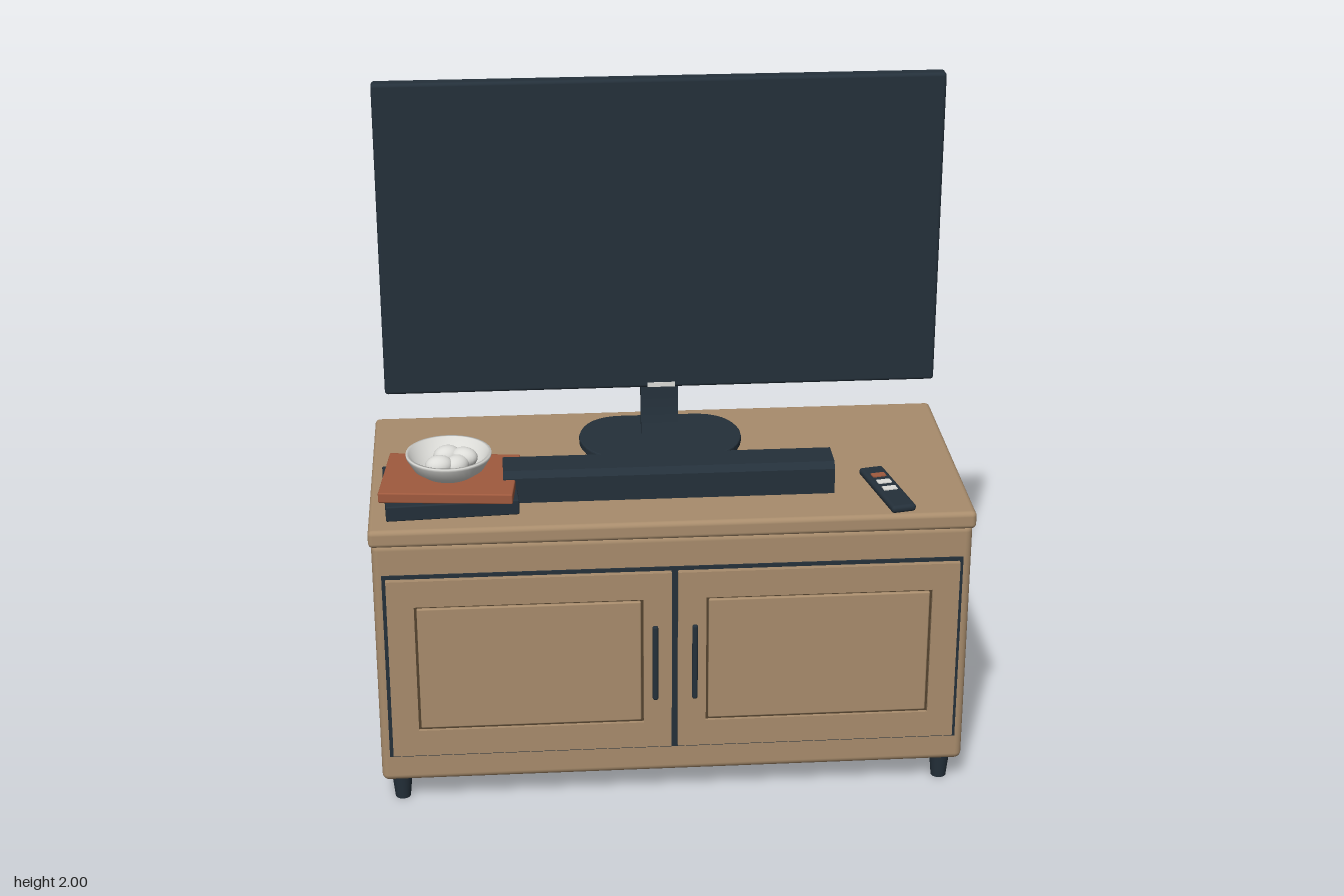
import * as THREE from 'three';
import { RoundedBoxGeometry } from 'three/addons/geometries/RoundedBoxGeometry.js';

const mat = (name, color, side = THREE.FrontSide) => {
  const m = new THREE.MeshStandardMaterial({ color, side });
  m.name = name;
  return m;
};

export function createModel() {
  const model = new THREE.Group();
  model.name = 'mediaUnit';
  const wood = mat('wood', 0xa88c6c);
  const groove = mat('grooveBrown', 0x54432f);
  const dark = mat('charcoal', 0x24303a);
  const rust = mat('rust', 0xa05a3e);
  const pale = mat('paleCeramic', 0xdcdcd8, THREE.DoubleSide);

  const add = (name, geo, material, x = 0, y = 0, z = 0, parent = model) => {
    const mesh = new THREE.Mesh(geo, material);
    mesh.name = name;
    mesh.position.set(x, y, z);
    parent.add(mesh);
    return mesh;
  };
  // Rounded block given by its lower and upper corners
  const block = (name, material, [x0, y0, z0], [x1, y1, z1], r = 0.01, parent = model) =>
    add(name, new RoundedBoxGeometry(x1 - x0, y1 - y0, z1 - z0, 3, r), material,
      (x0 + x1) / 2, (y0 + y1) / 2, (z0 + z1) / 2, parent);
  const group = (name, x, y, z, turn = 0) => {
    const g = new THREE.Group();
    g.name = name;
    g.position.set(x, y, z);
    g.rotation.y = turn;
    model.add(g);
    return g;
  };
  const rect = (P, x0, y0, x1, y1) => new P([
    new THREE.Vector2(x0, y0), new THREE.Vector2(x1, y0),
    new THREE.Vector2(x1, y1), new THREE.Vector2(x0, y1)]);

  // Cabinet
  block('cabinetBody', wood, [-0.84, 0.08, -0.41], [0.84, 0.835, 0.375], 0.02);
  block('cabinetTop', wood, [-0.847, 0.828, -0.413], [0.847, 0.88, 0.385], 0.014);
  for (const x of [-0.785, 0.785]) for (const z of [0.318, -0.355])
    add('leg', new THREE.CylinderGeometry(0.031, 0.022, 0.09, 20), dark, x, 0.045, z);

  // Doors with inset panels, framed by a dark gap
  add('doorGap', new THREE.BoxGeometry(1.63, 0.577, 0.008), dark, 0, 0.4525, 0.376);
  for (const s of [-1, 1]) {
    const frame = rect(THREE.Shape, -0.3975, -0.2775, 0.3975, 0.2775);
    const dx = s * 0.4065, px = s * 0.4085;
    frame.holes.push(rect(THREE.Path, px - dx - 0.32, -0.197, px - dx + 0.32, 0.197));
    const door = new THREE.ExtrudeGeometry(frame, { depth: 0.019, bevelEnabled: false });
    add('doorFrame', door, wood, dx, 0.4525, 0.377);
    add('panelGroove', new THREE.BoxGeometry(0.642, 0.396, 0.006), groove, px, 0.4525, 0.383);
    block('doorPanel', wood, [px - 0.313, 0.263, 0.38], [px + 0.313, 0.642, 0.395], 0.004);
    block('doorHandle', dark, [s * 0.056 - 0.008, 0.335, 0.399], [s * 0.056 + 0.008, 0.57, 0.413], 0.006);
    for (const y of [0.36, 0.545])
      add('handlePost', new THREE.BoxGeometry(0.01, 0.014, 0.012), dark, s * 0.056, y, 0.399);
  }

  // Television
  block('screenPanel', dark, [-0.803, 1.073, -0.172], [0.803, 2, -0.126], 0.01);
  block('rearHousing', dark, [-0.56, 1.205, -0.22], [0.56, 1.8, -0.165], 0.02);
  for (let i = 0; i < 5; i++)
    add('rearVent', new THREE.BoxGeometry(0.76, 0.009, 0.008), dark, 0, 1.66 + i * 0.023, -0.22);
  add('chinPlate', new THREE.BoxGeometry(0.08, 0.014, 0.004), pale, 0, 1.083, -0.126);

  // Curved neck: side profile swept across its width
  const curve = new THREE.CatmullRomCurve3([[-0.185, 0.895], [-0.205, 0.97], [-0.214, 1.06],
    [-0.211, 1.14], [-0.198, 1.23]].map(([z, y]) => new THREE.Vector3(z, y, 0)));
  const mids = curve.getPoints(14);
  const side = (d) => mids.map((p) => new THREE.Vector2(-(p.x + d), p.y));
  const neck = new THREE.ExtrudeGeometry(
    new THREE.Shape([...side(-0.014), ...side(0.014).reverse()]), { depth: 0.11, bevelEnabled: false });
  neck.translate(0, 0, -0.055).rotateY(Math.PI / 2);
  add('standNeck', neck, dark);

  // Rounded stand foot
  const foot = new THREE.Shape();
  const [w, d, c] = [0.235, 0.15, 0.13];
  foot.moveTo(-w + c, -d).lineTo(w - c, -d).quadraticCurveTo(w - 0.02, -d, w, -d + c)
    .lineTo(w, d - c).quadraticCurveTo(w - 0.02, d, w - c, d)
    .lineTo(-w + c, d).quadraticCurveTo(-w + 0.02, d, -w, d - c)
    .lineTo(-w, -d + c).quadraticCurveTo(-w + 0.02, -d, -w + c, -d);
  const footGeo = new THREE.ExtrudeGeometry(foot, {
    depth: 0.014, bevelSize: 0.004, bevelThickness: 0.004, bevelSegments: 2, curveSegments: 8 });
  footGeo.rotateX(-Math.PI / 2);
  add('standFoot', footGeo, dark, 0, 0.884, -0.173);

  // Soundbar with chamfered long edges
  const bar = new THREE.Shape([[-0.065, -0.045], [0.065, -0.045], [0.065, 0.03], [0.048, 0.047],
    [-0.048, 0.047], [-0.065, 0.03]].map(([x, y]) => new THREE.Vector2(x, y)));
  const barGeo = new THREE.ExtrudeGeometry(bar, { depth: 0.935, bevelEnabled: false });
  barGeo.translate(0, 0, -0.4675).rotateY(Math.PI / 2);
  add('soundbar', barGeo, dark, -0.002, 0.928, 0.167);

  // Stacked books
  const lower = group('lowerBook', -0.62, 0.88, 0.172, 0.06);
  block('lowerBookBlock', dark, [-0.185, 0, -0.14], [0.185, 0.045, 0.14], 0.004, lower);
  const upper = group('upperBook', -0.618, 0.925, 0.174, -0.1);
  block('upperBookBlock', rust, [-0.187, 0, -0.138], [0.187, 0.03, 0.138], 0.004, upper);

  // Bowl with rounded stones
  const bowl = [[0, 0], [0.06, 0], [0.072, 0.006], [0.1, 0.026], [0.12, 0.06], [0.12, 0.068],
    [0.112, 0.068], [0.094, 0.034], [0.06, 0.014], [0, 0.01]];
  add('bowl', new THREE.LatheGeometry(bowl.map(([r, y]) => new THREE.Vector2(r, y)), 40),
    pale, -0.62, 0.955, 0.18);
  for (const [x, y, z, turn] of [[-0.625, 1.002, 0.153, 0.4], [-0.578, 1.0, 0.165, -0.3],
    [-0.6, 0.992, 0.2, 0.7], [-0.647, 1.0, 0.217, 0.2]]) {
    const stone = add('bowlStone', new THREE.SphereGeometry(0.04, 20, 14), pale, x, y, z);
    stone.scale.set(1, 0.72, 0.8);
    stone.rotation.y = turn;
  }

  // Remote control
  const remote = group('remote', 0.615, 0.88, 0.238, 0.2);
  block('remoteBody', dark, [-0.036, 0.002, -0.14], [0.036, 0.024, 0.14], 0.01, remote);
  [rust, pale, pale].forEach((m, i) =>
    add('remoteButton', new THREE.BoxGeometry(0.04, 0.006, 0.024), m, 0, 0.024, -0.073 + i * 0.046, remote));

  return model;
}
